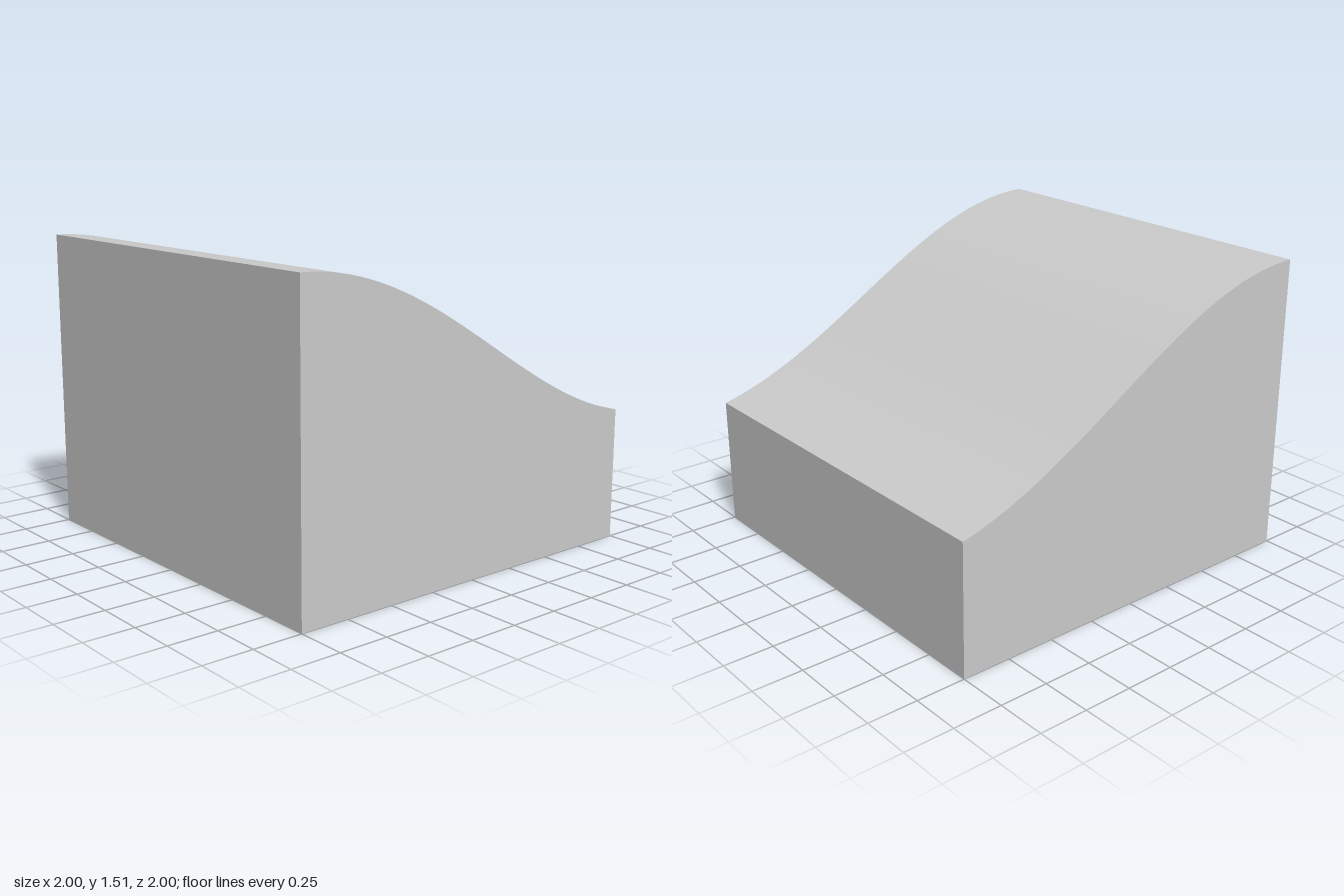
import * as THREE from 'three';
import { toCreasedNormals } from 'three/addons/utils/BufferGeometryUtils.js';

export function createModel() {
  const group = new THREE.Group();
  group.name = 'slopedBlock';

  // Side profile: flat base, straight walls and an S-curved top
  const profile = new THREE.Shape();
  profile.moveTo(-1, 0);
  profile.lineTo(1, 0);
  profile.lineTo(1, 0.663);
  profile.bezierCurveTo(0.28, 0.829, -0.28, 1.51, -1, 1.51);
  profile.closePath();

  // Extrude along z and smooth only the curved top
  const geometry = new THREE.ExtrudeGeometry(profile, { depth: 2, bevelEnabled: false, curveSegments: 40 });
  geometry.translate(0, 0, -1);

  const block = new THREE.Mesh(
    toCreasedNormals(geometry, 0.5),
    new THREE.MeshStandardMaterial({ color: 0xcccccc })
  );
  block.name = 'curvedTopBlock';
  group.add(block);
  return group;
}
